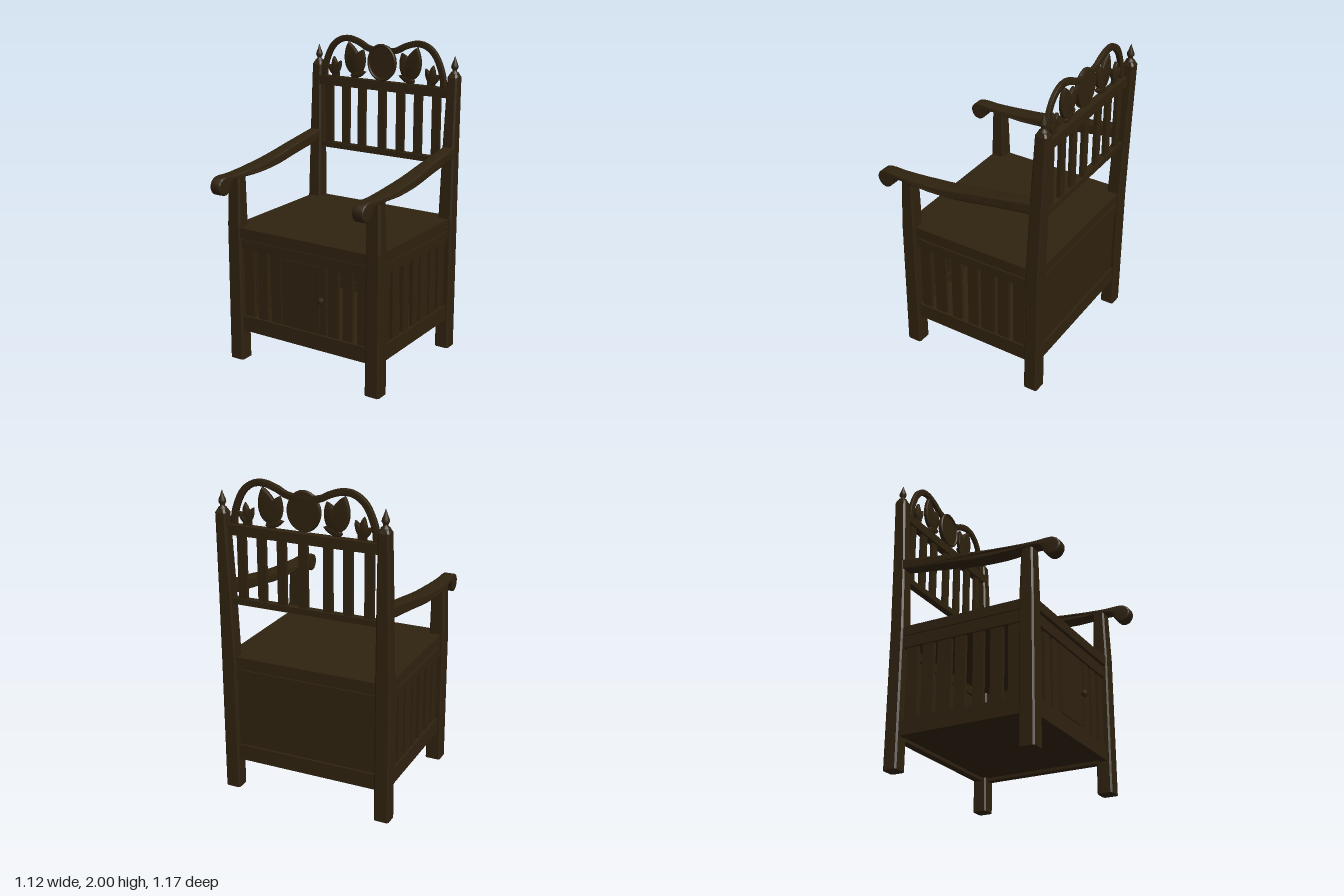
import * as THREE from 'three';
import { toCreasedNormals } from 'three/addons/utils/BufferGeometryUtils.js';

export function createModel() {
  const model = new THREE.Group();
  const darkOak = new THREE.MeshStandardMaterial({ color: 0x2f220f });
  darkOak.name = 'darkOak';

  const add = (name, geo, x = 0, y = 0, z = 0) => {
    const mesh = new THREE.Mesh(geo, darkOak);
    mesh.name = name;
    mesh.position.set(x, y, z);
    model.add(mesh);
    return mesh;
  };
  // box given by its limits on each axis
  const box = (name, x0, x1, y0, y1, z0, z1) =>
    add(name, new THREE.BoxGeometry(x1 - x0, y1 - y0, z1 - z0), (x0 + x1) / 2, (y0 + y1) / 2, (z0 + z1) / 2);

  // chamfered square post through sections [y, centreX, halfWidth, zBack, zFront]
  const post = (name, s, sections, c = 0.01) => {
    const rings = sections.map(([y, cx, h, z0, z1]) => {
      const a = cx * s - h, b = cx * s + h;
      return [[a + c, z1], [b - c, z1], [b, z1 - c], [b, z0 + c], [b - c, z0], [a + c, z0], [a, z0 + c], [a, z1 - c]]
        .map(([x, z]) => [x, y, z]);
    });
    const p = [];
    for (let r = 0; r < rings.length - 1; r++) {
      for (let i = 0; i < 8; i++) {
        const j = (i + 1) % 8, lo = rings[r], hi = rings[r + 1];
        p.push(...lo[i], ...lo[j], ...hi[j], ...lo[i], ...hi[j], ...hi[i]);
      }
    }
    const bottom = rings[0], top = rings[rings.length - 1];
    for (let i = 1; i < 7; i++) {
      p.push(...top[0], ...top[i], ...top[i + 1]);
      p.push(...bottom[0], ...bottom[i + 1], ...bottom[i]);
    }
    const geo = new THREE.BufferGeometry();
    geo.setAttribute('position', new THREE.Float32BufferAttribute(p, 3));
    geo.computeVertexNormals();
    return add(name, geo);
  };

  // bevelled plate cut from a shape, centred on z = 0
  const plate = (shape, depth, bevel) => {
    const geo = new THREE.ExtrudeGeometry(shape, {
      depth: depth - 2 * bevel, bevelEnabled: bevel > 0, bevelThickness: bevel,
      bevelSize: bevel, bevelOffset: -bevel, bevelSegments: 3, curveSegments: 16,
    });
    return geo.translate(0, 0, -depth / 2 + bevel);
  };
  const vec = ([x, y]) => new THREE.Vector2(x, y);

  // arm profile in (z, y), with a scrolled front end
  const armPoints = new THREE.SplineCurve([
    [-0.5, 1.357], [-0.2, 1.307], [0, 1.272], [0.2, 1.247], [0.4, 1.236], [0.5, 1.239], [0.545, 1.234],
    [0.577, 1.21], [0.585, 1.172], [0.562, 1.134], [0.522, 1.124], [0.486, 1.148], [0.465, 1.188],
    [0.42, 1.204], [0.2, 1.201], [0, 1.212], [-0.2, 1.242], [-0.5, 1.284],
  ].map(vec)).getPoints(90);
  const armWidth = z => z < 0.2
    ? THREE.MathUtils.lerp(0.074, 0.106, (z + 0.5) / 0.7)
    : THREE.MathUtils.lerp(0.106, 0.074, (z - 0.2) / 0.38);

  const finialProfile = [[0.001, 0], [0.027, 0], [0.027, 0.012], [0.013, 0.022], [0.015, 0.032],
    [0.023, 0.046], [0.021, 0.06], [0.011, 0.085], [0.001, 0.115]].map(vec);

  for (const s of [1, -1]) {
    const side = s > 0 ? 'left' : 'right';
    post(side + 'FrontLeg', s, [[0, 0.509, 0.05, 0.323, 0.421], [0.9, 0.508, 0.049, 0.327, 0.419],
      [1.21, 0.503, 0.043, 0.335, 0.41]]);
    post(side + 'BackPost', s, [[0, 0.508, 0.048, -0.555, -0.463], [0.88, 0.506, 0.048, -0.555, -0.465],
      [1.35, 0.506, 0.041, -0.567, -0.482], [1.79, 0.508, 0.034, -0.58, -0.505],
      [1.81, 0.508, 0.026, -0.57, -0.517]]);
    add(side + 'Finial', new THREE.LatheGeometry(finialProfile, 16), 0.508 * s, 1.805, -0.543);

    // arm widens at its middle
    const arm = plate(new THREE.Shape(armPoints), 0.1, 0.01).rotateY(-Math.PI / 2);
    const p = arm.attributes.position;
    for (let i = 0; i < p.count; i++) {
      p.setX(i, 0.508 * s + p.getX(i) * armWidth(p.getZ(i)) / 0.1);
    }
    add(side + 'Arm', toCreasedNormals(arm, 0.6));

    // side of the chest
    const sideBox = (name, a, b, ...rest) => box(side + name, Math.min(a * s, b * s), Math.max(a * s, b * s), ...rest);
    sideBox('BottomRail', 0.485, 0.535, 0.2, 0.3, -0.5, 0.37);
    sideBox('TopRail', 0.485, 0.535, 0.75, 0.81, -0.5, 0.37);
    for (const [z0, z1] of [[0.24, 0.31], [0.125, 0.205], [0.01, 0.08], [-0.11, -0.04],
      [-0.23, -0.135], [-0.335, -0.255], [-0.445, -0.365]]) {
      sideBox('SideSlat', 0.5, 0.522, 0.29, 0.76, z0, z1);
    }
    // front slats beside the door
    for (const [x0, x1] of [[0.175, 0.25], [0.28, 0.35], [0.385, 0.455]]) {
      sideBox('FrontSlat', x0, x1, 0.29, 0.76, 0.36, 0.383);
    }
  }

  // chest front, back, floor and lid
  box('frontBottomRail', -0.48, 0.48, 0.2, 0.3, 0.345, 0.398);
  box('frontTopRail', -0.48, 0.48, 0.75, 0.81, 0.345, 0.398);
  box('backBottomRail', -0.48, 0.48, 0.2, 0.3, -0.54, -0.49);
  box('backTopRail', -0.48, 0.48, 0.75, 0.81, -0.54, -0.49);
  box('backPanel', -0.48, 0.48, 0.29, 0.76, -0.525, -0.505);
  box('floor', -0.5, 0.5, 0.22, 0.24, -0.51, 0.37);
  box('lidMoulding', -0.525, 0.525, 0.808, 0.832, -0.53, 0.39);
  box('seatLid', -0.535, 0.535, 0.83, 0.89, -0.54, 0.412);

  // door with raised panel and knob
  box('doorFrame', -0.165, 0.16, 0.29, 0.76, 0.36, 0.383);
  box('doorPanel', -0.143, 0.117, 0.32, 0.74, 0.375, 0.39);
  const knobProfile = [[0.001, 0], [0.011, 0], [0.009, 0.012], [0.021, 0.02], [0.024, 0.029],
    [0.018, 0.038], [0.001, 0.042]].map(vec);
  add('doorKnob', new THREE.LatheGeometry(knobProfile, 16).rotateX(Math.PI / 2), 0.137, 0.53, 0.38);

  // back rest
  box('backRestLowerRail', -0.48, 0.48, 1.235, 1.272, -0.545, -0.5);
  box('backRestUpperRail', -0.49, 0.49, 1.66, 1.72, -0.55, -0.5);
  for (const x of [-0.41, -0.28, -0.155, 0, 0.137, 0.267, 0.398]) {
    box('backRestSlat', x - 0.028, x + 0.028, 1.265, 1.665, -0.535, -0.512);
  }

  // crest: one flat band in a double arch
  const half = [[0.447, 1.71], [0.437, 1.8], [0.39, 1.91], [0.325, 1.967], [0.25, 1.98], [0.17, 1.958], [0.1, 1.925]];
  const arch = new THREE.SplineCurve([...half, [0, 1.915], ...half.map(([x, y]) => [-x, y]).reverse()].map(vec));
  const rim = { outer: [], inner: [] };
  for (let i = 0; i <= 80; i++) {
    const c = arch.getPoint(i / 80), t = arch.getTangent(i / 80);
    const n = new THREE.Vector2(-t.y, t.x).multiplyScalar(0.02);
    rim.outer.push(c.clone().add(n));
    rim.inner.push(c.clone().sub(n));
  }
  const crestZ = -0.517;
  add('crestArch', toCreasedNormals(plate(new THREE.Shape([...rim.outer, ...rim.inner.reverse()]), 0.024, 0.004), 0.6),
    0, 0, crestZ);

  // medallion with raised rim
  const medallion = add('medallion', new THREE.CylinderGeometry(0.1, 0.1, 0.024, 40).rotateX(Math.PI / 2), 0, 1.842, crestZ);
  medallion.scale.y = 1.14;
  const ring = add('medallionRim', new THREE.TorusGeometry(0.097, 0.009, 8, 40), 0, 1.842, crestZ + 0.011);
  ring.scale.y = 1.14;

  // carved leaves, each from stem to tip
  const leaf = (name, x0, y0, x1, y1, width) => {
    const length = Math.hypot(x1 - x0, y1 - y0), w = width * 0.66;
    const shape = new THREE.Shape();
    shape.moveTo(0, 0);
    shape.bezierCurveTo(w, length * 0.1, w, length * 0.65, 0, length);
    shape.bezierCurveTo(-w, length * 0.65, -w, length * 0.1, 0, 0);
    const mesh = add(name, toCreasedNormals(plate(shape, 0.026, 0.009), 0.9), x0, y0, crestZ);
    mesh.rotation.z = -Math.atan2(x1 - x0, y1 - y0);
  };
  for (const s of [1, -1]) {
    leaf('largeLeaf', 0.2 * s, 1.745, 0.258 * s, 1.958, 0.12);
    leaf('innerLeaf', 0.215 * s, 1.745, 0.145 * s, 1.915, 0.105);
    leaf('lowLeaf', 0.24 * s, 1.735, 0.125 * s, 1.77, 0.05);
    leaf('smallLeafOuter', 0.355 * s, 1.735, 0.418 * s, 1.8, 0.045);
    leaf('smallLeafMiddle', 0.36 * s, 1.735, 0.372 * s, 1.855, 0.05);
    leaf('smallLeafInner', 0.365 * s, 1.735, 0.318 * s, 1.83, 0.045);
    box('leafStem', 0.36 * s - 0.025, 0.36 * s + 0.025, 1.715, 1.75, crestZ - 0.01, crestZ + 0.01);
  }
  return model;
}
